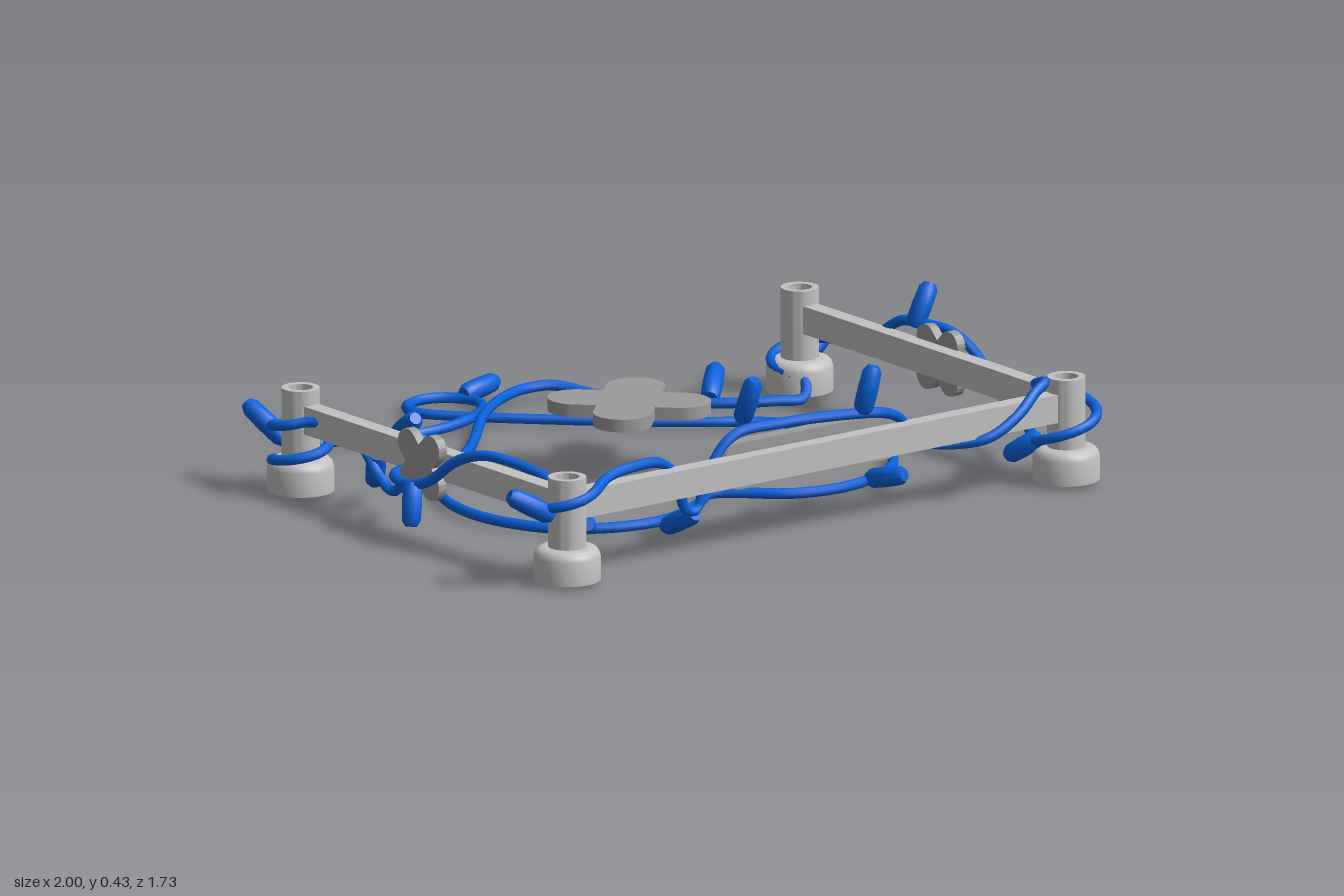
import * as THREE from 'three';
import { toCreasedNormals } from 'three/addons/utils/BufferGeometryUtils.js';

const lightGrey = new THREE.MeshStandardMaterial({ color: 0xc2c2c2 });
lightGrey.name = 'lightGrey';
const midGrey = new THREE.MeshStandardMaterial({ color: 0x9c9c9c });
midGrey.name = 'midGrey';
const blue = new THREE.MeshStandardMaterial({ color: 0x0862dc });
blue.name = 'blue';

const V = (x, y, z) => new THREE.Vector3(x, y, z);

function add(parent, name, geometry, material, x = 0, y = 0, z = 0) {
  const mesh = new THREE.Mesh(geometry, material);
  mesh.name = name;
  mesh.position.set(x, y, z);
  parent.add(mesh);
  return mesh;
}

// Two crossed round-ended bars, lying in the xy plane and centred on its thickness
function crossGeometry(reach, radius, depth) {
  const shape = new THREE.Shape();
  for (let k = 0; k < 4; k++) {
    const a = Math.PI / 4 + k * Math.PI / 2;
    shape.absarc(Math.cos(a) * reach, Math.sin(a) * reach, radius, a - Math.PI / 2, a + Math.PI / 2, false);
    const n = a + Math.PI / 4;
    shape.lineTo(Math.cos(n) * radius * Math.SQRT2, Math.sin(n) * radius * Math.SQRT2);
  }
  const g = new THREE.ExtrudeGeometry(shape, { depth, bevelEnabled: false, curveSegments: 14 });
  return toCreasedNormals(g.translate(0, 0, -depth / 2), 0.6);
}

// Cable turns around a post, angles in degrees, from height y0 to y1
function wrap(cx, cz, a0, a1, y0, y1, r = 0.075) {
  const n = Math.ceil(Math.abs(a1 - a0) / 35);
  return Array.from({ length: n + 1 }, (_, i) => {
    const t = i / n, a = THREE.MathUtils.degToRad(a0 + (a1 - a0) * t);
    return V(cx + Math.cos(a) * r, y0 + (y1 - y0) * t, cz + Math.sin(a) * r);
  });
}

export function createModel() {
  const model = new THREE.Group();
  model.name = 'lightStringFrame';
  const XL = -0.826, XR = 0.815, ZF = 0.773, ZB = -0.358;

  // Hollow-topped corner posts on round-shouldered feet
  const profile = [[0, 0.02], [0.088, 0.02], [0.088, 0.083], [0.084, 0.095], [0.076, 0.104], [0.064, 0.108],
    [0.05, 0.108], [0.05, 0.295], [0.032, 0.295], [0.032, 0.2]].map(p => new THREE.Vector2(...p));
  const postGeometry = toCreasedNormals(new THREE.LatheGeometry(profile, 28), 0.7);
  const socketGeometry = new THREE.CylinderGeometry(0.033, 0.033, 0.01, 20);
  for (const x of [XL, XR]) for (const z of [ZF, ZB]) {
    add(model, 'cornerPost', postGeometry, lightGrey, x, 0, z);
    add(model, 'postSocketFloor', socketGeometry, midGrey, x, 0.215, z);
  }

  // Rails on three sides, stopping short of the posts' hollow
  const railY = 0.218, railH = 0.075, railT = 0.046;
  add(model, 'frontRail', new THREE.BoxGeometry(XR - XL - 0.08, railH, railT), lightGrey, (XL + XR) / 2, railY, ZF);
  for (const x of [XL, XR]) {
    add(model, 'sideRail', new THREE.BoxGeometry(railT, railH, ZF - ZB - 0.08), lightGrey, x, railY, (ZF + ZB) / 2);
  }

  // Round-ended plate with two pegs behind the front rail
  const plate = new THREE.Shape();
  plate.absarc(0.228, 0, 0.0625, -Math.PI / 2, Math.PI / 2, false);
  plate.absarc(-0.238, 0, 0.0625, Math.PI / 2, Math.PI * 1.5, false);
  const plateGeometry = new THREE.ExtrudeGeometry(plate, { depth: 0.04, bevelEnabled: false, curveSegments: 14 });
  add(model, 'railPlate', toCreasedNormals(plateGeometry, 0.6), midGrey, 0, 0.222, 0.714);
  const pegGeometry = new THREE.CylinderGeometry(0.036, 0.036, 0.036, 20).rotateX(Math.PI / 2);
  for (const x of [-0.247, 0.233]) add(model, 'platePeg', pegGeometry, lightGrey, x, 0.222, 0.697);

  // Crosses: a large floating one and one outside each side rail
  add(model, 'centreCross', crossGeometry(0.137, 0.077, 0.034).rotateX(Math.PI / 2), midGrey, -0.012, 0.186, -0.014);
  const smallCross = crossGeometry(0.069, 0.038, 0.026).rotateY(Math.PI / 2);
  for (const [x, s] of [[XL, -1], [XR, 1]]) add(model, 'sideCross', smallCross, midGrey, x + s * 0.032, 0.212, 0.2);

  // Cable lying on the floor (x, z): small loop at the back, then the heart
  const backLoop = [[-0.735, -0.527], [-0.64, -0.645], [-0.52, -0.665], [-0.4, -0.635], [-0.255, -0.59],
    [-0.105, -0.61], [0.02, -0.68], [0.06, -0.76], [0.02, -0.83], [-0.05, -0.853], [-0.12, -0.82], [-0.135, -0.76]];
  const heart = [[-0.065, -0.66], [0.085, -0.505], [0.245, -0.355], [0.415, -0.215], [0.52, -0.135],
    [0.6, -0.02], [0.635, 0.11], [0.61, 0.27], [0.525, 0.41], [0.405, 0.485], [0.265, 0.51], [0.135, 0.475],
    [0.04, 0.39], [-0.025, 0.35], [-0.115, 0.41], [-0.24, 0.475], [-0.345, 0.485], [-0.47, 0.445],
    [-0.575, 0.355], [-0.635, 0.2], [-0.63, 0.045], [-0.56, -0.12], [-0.415, -0.255], [-0.225, -0.41]];
  const backPeak = [[-0.05, -0.58], [0.09, -0.68], [0.19, -0.715], [0.27, -0.695]];
  const backSlope = [[0.35, -0.6], [0.455, -0.445], [0.565, -0.34], [0.68, -0.28], [0.755, -0.262]];
  const floor = (list, y) => list.map(([x, z]) => V(x, y, z));

  // Cable draped along the three rails (x, y, z)
  const rightDrape = [[0.86, 0.17, -0.2], [0.84, 0.18, -0.12], [0.845, 0.24, -0.04], [0.845, 0.285, 0.04],
    [0.85, 0.29, 0.1], [0.885, 0.28, 0.2], [0.905, 0.23, 0.28], [0.9, 0.16, 0.36], [0.885, 0.135, 0.46],
    [0.84, 0.135, 0.57], [0.785, 0.14, 0.65]];
  const frontDrape = [[0.69, 0.28, 0.805], [0.62, 0.23, 0.82], [0.53, 0.18, 0.805], [0.44, 0.165, 0.735],
    [0.36, 0.19, 0.725], [0.29, 0.26, 0.745], [0.2, 0.3, 0.785], [0.1, 0.31, 0.775], [-0.1, 0.312, 0.742],
    [-0.25, 0.3, 0.732], [-0.33, 0.21, 0.728], [-0.365, 0.12, 0.728], [-0.4, 0.125, 0.728],
    [-0.44, 0.22, 0.735], [-0.5, 0.272, 0.75], [-0.6, 0.284, 0.77], [-0.7, 0.277, 0.788]];
  const leftDrape = [[-0.78, 0.245, 0.65], [-0.8, 0.27, 0.56], [-0.845, 0.285, 0.45], [-0.87, 0.255, 0.36],
    [-0.895, 0.19, 0.28], [-0.905, 0.165, 0.2], [-0.89, 0.17, 0.12], [-0.81, 0.17, 0.085], [-0.785, 0.13, 0.045],
    [-0.785, 0.08, -0.02], [-0.785, 0.11, -0.08], [-0.79, 0.18, -0.15], [-0.82, 0.22, -0.23]];
  const drape = list => list.map(p => V(...p));

  const path = [
    ...floor(backLoop, 0.027), ...floor(heart, 0.027), ...floor(backPeak, 0.048), ...floor(backSlope, 0.027),
    ...wrap(XR, ZB, 120, 405, 0.07, 0.16), ...drape(rightDrape),
    ...wrap(XR, ZF, 205, -190, 0.125, 0.295, 0.08), ...drape(frontDrape),
    ...wrap(XL, ZF, 70, 330, 0.255, 0.17), ...drape(leftDrape),
    ...wrap(XL, ZB, 115, 615, 0.22, 0.09), V(-0.785, 0.06, -0.465),
  ];
  const curve = new THREE.CatmullRomCurve3(path, true, 'centripetal');
  add(model, 'cable', new THREE.TubeGeometry(curve, 640, 0.0142, 8, true), blue);

  // Bulbs: base and tip on the floor run, then on the rails
  const bulbs = [
    [0.045, 0.04, -0.79, 0.175, 0.05, -0.82], [-0.31, 0.03, -0.61, -0.338, 0.1, -0.5],
    [0.475, 0.03, -0.165, 0.482, 0.15, -0.12], [0.53, 0.04, -0.37, 0.63, 0.085, -0.475],
    [-0.455, 0.03, -0.21, -0.525, 0.135, -0.27], [-0.5, 0.03, 0.4, -0.545, 0.06, 0.5],
    [0.385, 0.03, 0.49, 0.41, 0.06, 0.61],
    [-0.835, 0.14, -0.41, -0.875, 0.225, -0.525], [-0.775, 0.16, -0.1, -0.725, 0.06, -0.175],
    [-0.905, 0.175, 0.22, -0.93, 0.065, 0.245], [-0.885, 0.2, 0.785, -0.995, 0.265, 0.745],
    [-0.372, 0.11, 0.73, -0.38, 0.05, 0.61], [0.135, 0.31, 0.785, 0.16, 0.435, 0.8],
    [0.76, 0.13, 0.73, 0.715, 0.07, 0.65], [0.835, 0.28, 0.1, 0.89, 0.39, 0.1],
    [0.88, 0.11, -0.385, 0.99, 0.16, -0.44],
  ];
  const bulbProfile = [[0, 0], [0.018, 0], [0.026, 0.12], [0.027, 0.5], [0.025, 0.88], [0.016, 1], [0, 1]]
    .map(p => new THREE.Vector2(...p));
  const bulbGeometry = toCreasedNormals(new THREE.LatheGeometry(bulbProfile, 14), 0.7);
  for (const [ax, ay, az, bx, by, bz] of bulbs) {
    const dir = V(bx - ax, by - ay, bz - az);
    const bulb = add(model, 'bulb', bulbGeometry, blue, ax, ay, az);
    bulb.scale.y = dir.length();
    bulb.quaternion.setFromUnitVectors(V(0, 1, 0), dir.normalize());
  }
  return model;
}
